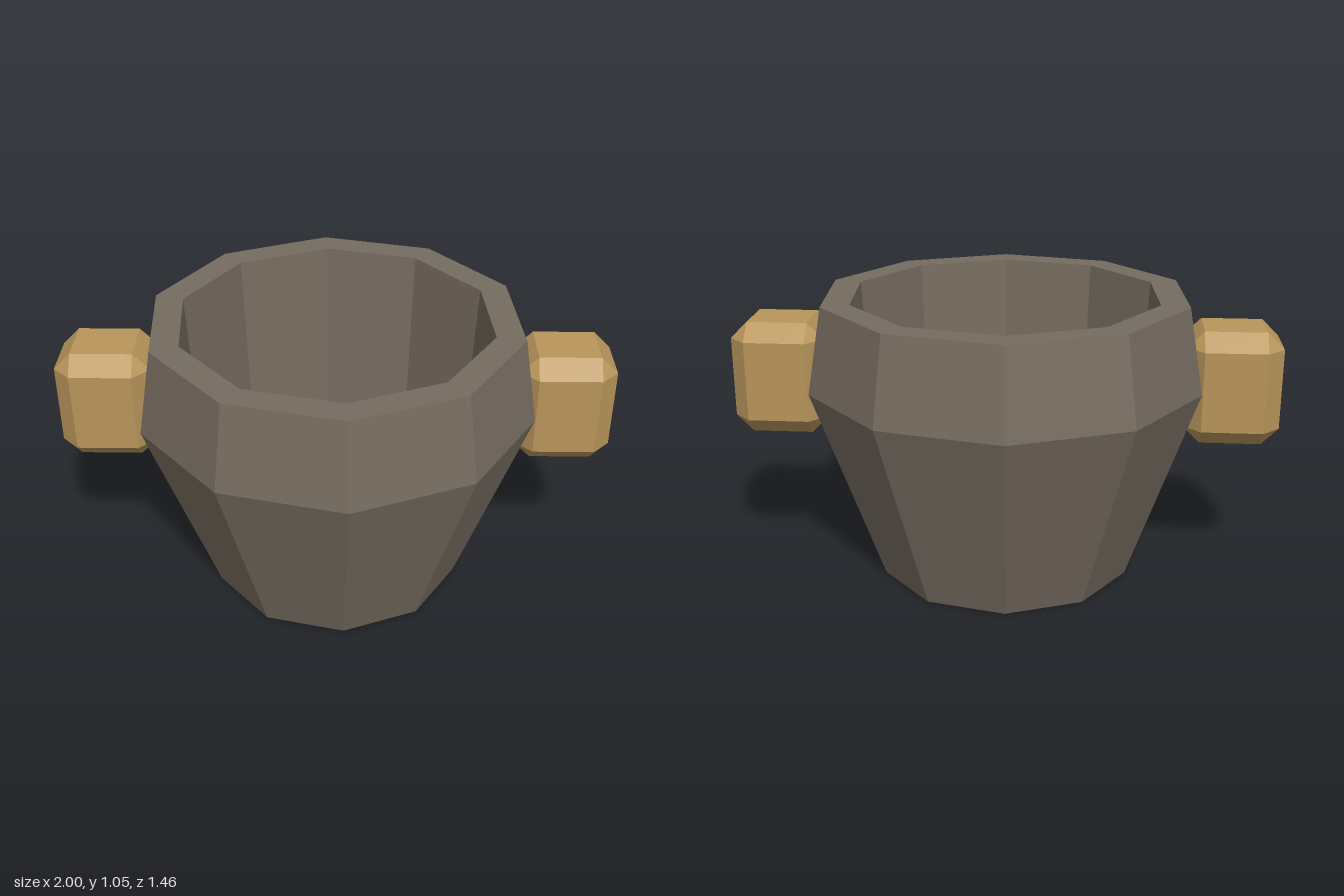
import * as THREE from 'three';
import { ConvexGeometry } from 'three/addons/geometries/ConvexGeometry.js';

// Box with all edges and corners cut flat by c
function chamferedBox(w, h, d, c) {
  const points = [];
  for (const sx of [-1, 1]) for (const sy of [-1, 1]) for (const sz of [-1, 1]) {
    const x = w / 2, y = h / 2, z = d / 2;
    points.push(
      new THREE.Vector3(sx * x, sy * (y - c), sz * (z - c)),
      new THREE.Vector3(sx * (x - c), sy * y, sz * (z - c)),
      new THREE.Vector3(sx * (x - c), sy * (y - c), sz * z)
    );
  }
  return new ConvexGeometry(points);
}

export function createModel() {
  const model = new THREE.Group();
  model.name = 'pot';

  const stone = new THREE.MeshStandardMaterial({ color: 0x766c60, flatShading: true });
  stone.name = 'brown grey stone';
  const brass = new THREE.MeshStandardMaterial({ color: 0xb8955a, flatShading: true });
  brass.name = 'tan brass';

  // Hollow ten-sided vessel: base, shoulder, rim, inner wall, floor
  const profile = [
    [0, 0], [0.475, 0], [0.732, 0.735], [0.677, 1.05],
    [0.572, 1.05], [0.53, 0.25], [0, 0.25],
  ].map(([r, y]) => new THREE.Vector2(r, y));
  const vessel = new THREE.Mesh(new THREE.LatheGeometry(profile, 10, 0.075), stone);
  vessel.name = 'vessel';
  model.add(vessel);

  // Chamfered block handles on both sides
  const handleGeometry = chamferedBox(0.346, 0.42, 0.312, 0.062);
  for (const side of [-1, 1]) {
    const handle = new THREE.Mesh(handleGeometry, brass);
    handle.name = side > 0 ? 'leftHandle' : 'rightHandle';
    handle.position.set(side * 0.827, 0.738, 0);
    model.add(handle);
  }

  return model;
}
